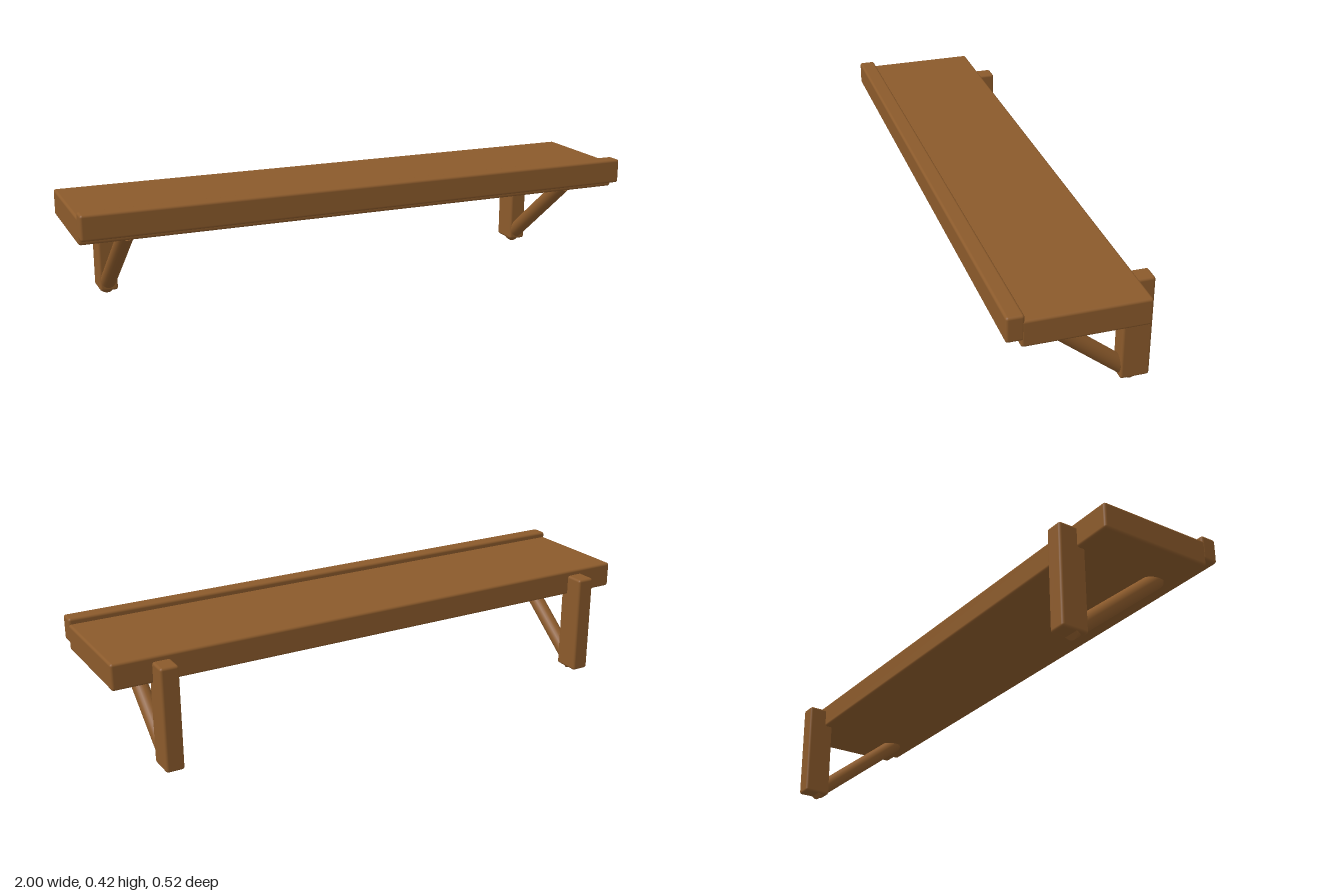
import * as THREE from 'three';
import { RoundedBoxGeometry } from 'three/addons/geometries/RoundedBoxGeometry.js';

export function createModel() {
  const group = new THREE.Group();
  group.name = 'wallShelf';
  const wood = new THREE.MeshStandardMaterial({ color: 0x8b5a2b });
  wood.name = 'brown wood';

  // Softly bevelled timber spanning the given y and z ranges
  function timber(name, x, width, y0, y1, z0, z1, parent = group) {
    const geometry = new RoundedBoxGeometry(width, y1 - y0, z1 - z0, 2, 0.009);
    const mesh = new THREE.Mesh(geometry, wood);
    mesh.name = name;
    mesh.position.set(x, (y0 + y1) / 2, (z0 + z1) / 2);
    parent.add(mesh);
  }

  // Shelf board and raised front lip
  timber('shelfBoard', 0, 2, 0.309, 0.4, -0.195, 0.215);
  timber('frontLip', 0, 2, 0.333, 0.42, 0.204, 0.262);

  // Two brackets: a wall post with a round diagonal brace
  const low = new THREE.Vector3(0, 0.024, -0.212);
  const high = new THREE.Vector3(0, 0.317, 0.153);
  const run = high.clone().sub(low);
  for (const side of [-1, 1]) {
    const bracket = new THREE.Group();
    bracket.name = side > 0 ? 'leftBracket' : 'rightBracket';
    bracket.position.x = side * 0.832;
    timber('wallPost', 0, 0.064, 0.018, 0.381, -0.262, -0.163, bracket);

    const brace = new THREE.Mesh(new THREE.CylinderGeometry(0.028, 0.028, run.length(), 24), wood);
    brace.name = 'diagonalBrace';
    brace.position.copy(low).add(high).multiplyScalar(0.5);
    brace.rotation.x = Math.atan2(run.z, run.y);
    bracket.add(brace);
    group.add(bracket);
  }
  return group;
}
